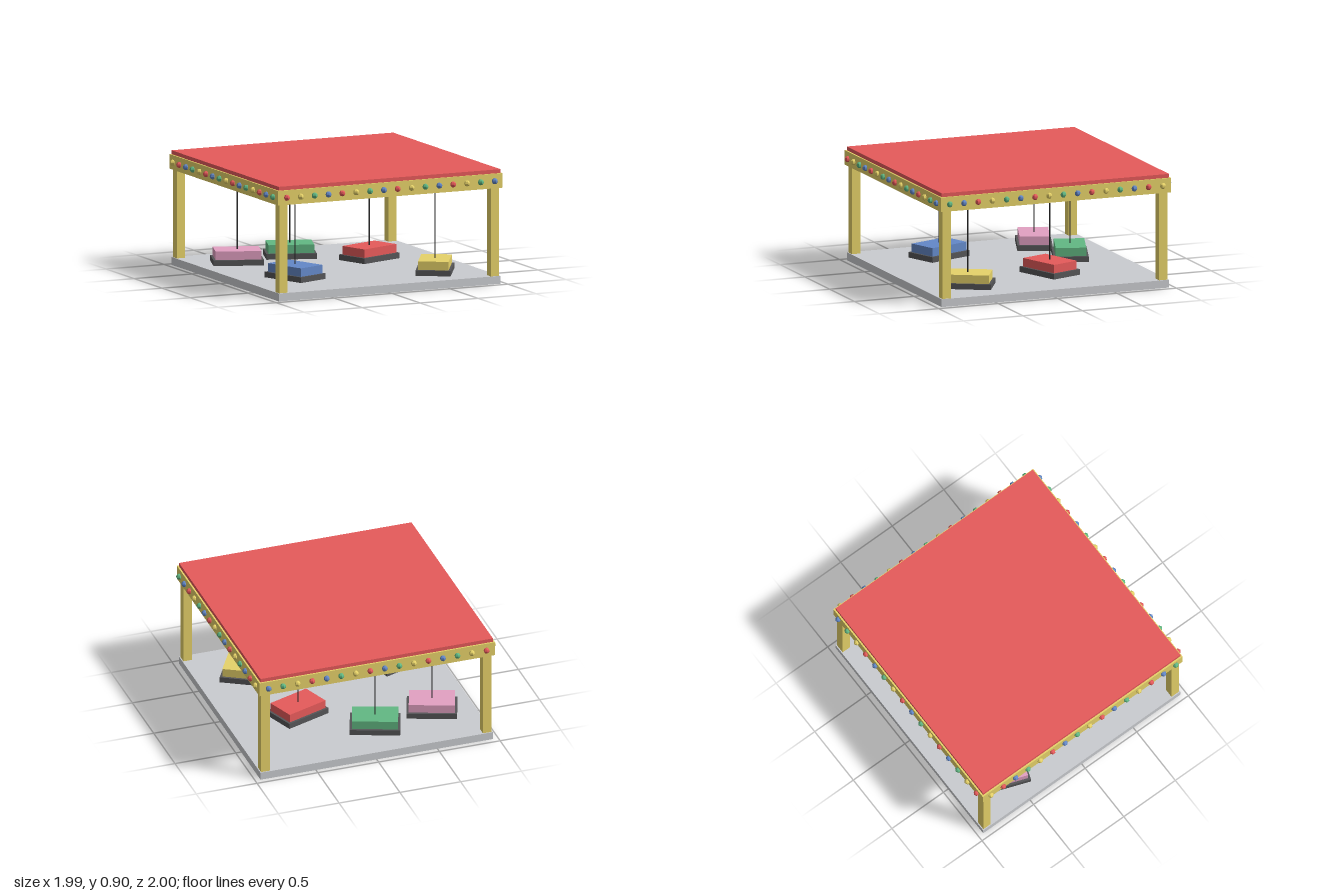
import * as THREE from 'three';

const mat = (name, color) => {
  const m = new THREE.MeshStandardMaterial({ color });
  m.name = name;
  return m;
};

export function createModel() {
  const red = mat('red', 0xe65a5a);
  const yellow = mat('yellow', 0xe6d269);
  const blue = mat('blue', 0x6388c8);
  const green = mat('green', 0x62b883);
  const pink = mat('pink', 0xe2a0c2);
  const grey = mat('floor grey', 0xcaccd0);
  const rubber = mat('rubber', 0x555557);
  const steel = mat('dark steel', 0x2a2a2a);

  const model = new THREE.Group();
  model.name = 'bumperCarPavilion';

  // Box given by its bottom height
  const box = (parent, name, material, w, h, d, x, y, z) => {
    const mesh = new THREE.Mesh(new THREE.BoxGeometry(w, h, d), material);
    mesh.name = name;
    mesh.position.set(x, y + h / 2, z);
    parent.add(mesh);
    return mesh;
  };

  // Floor and roof slab, which sinks into the ring of beams
  box(model, 'floor', grey, 1.912, 0.062, 1.912, 0, 0, 0);
  box(model, 'roof', red, 1.912, 0.07, 1.912, 0, 0.832, 0);

  // Corner posts
  for (const sx of [-1, 1]) {
    for (const sz of [-1, 1]) {
      box(model, 'post', yellow, 0.071, 0.74, 0.071, sx * 0.912, 0.03, sz * 0.912);
    }
  }

  // Fascia beams around the roof
  const outer = 0.969, thick = 0.04;
  for (const s of [-1, 1]) {
    const c = s * (outer - thick / 2);
    box(model, 'beam', yellow, outer * 2, 0.115, thick, 0, 0.757, c);
    box(model, 'sideBeam', yellow, thick, 0.115, (outer - thick) * 2, c, 0.757, 0);
  }

  // Faceted light bulbs, sixteen on each side
  const bulbGeometry = new THREE.SphereGeometry(0.024, 6, 6).toNonIndexed();
  bulbGeometry.rotateY(Math.PI / 6);
  bulbGeometry.computeVertexNormals();
  const bulb = (material, x, z) => {
    const mesh = new THREE.Mesh(bulbGeometry, material);
    mesh.name = 'bulb';
    mesh.position.set(x, 0.815, z);
    model.add(mesh);
  };
  const frontColours = [red, yellow, green, blue];
  const sideColours = [yellow, red, blue, green];
  for (let i = 0; i < 16; i++) {
    const t = -0.896 + i * 0.1195;
    for (const s of [-1, 1]) {
      bulb(frontColours[i % 4], t, s * 0.976);
      bulb(sideColours[i % 4], s * 0.976, t);
    }
  }

  // Cars: rubber bumper, body and power pole reaching the roof
  const poleGeometry = new THREE.CylinderGeometry(0.005, 0.005, 0.68, 6);
  const cars = [
    ['blueCar', blue, -0.527, 0.36, 20],
    ['yellowCar', yellow, 0.574, 0.577, -30],
    ['greenCar', green, -0.121, -0.572, 70],
    ['redCar', red, 0.381, -0.193, 110],
    ['pinkCar', pink, -0.622, -0.477, 70],
  ];
  for (const [name, material, x, z, degrees] of cars) {
    const car = new THREE.Group();
    car.name = name;
    car.position.set(x, 0, z);
    car.rotation.y = THREE.MathUtils.degToRad(degrees);
    box(car, 'bumper', rubber, 0.274, 0.044, 0.394, 0, 0.063, 0);
    box(car, 'body', material, 0.238, 0.067, 0.358, 0, 0.107, 0);
    const pole = new THREE.Mesh(poleGeometry, steel);
    pole.name = 'pole';
    pole.position.y = 0.5;
    car.add(pole);
    model.add(car);
  }

  return model;
}
